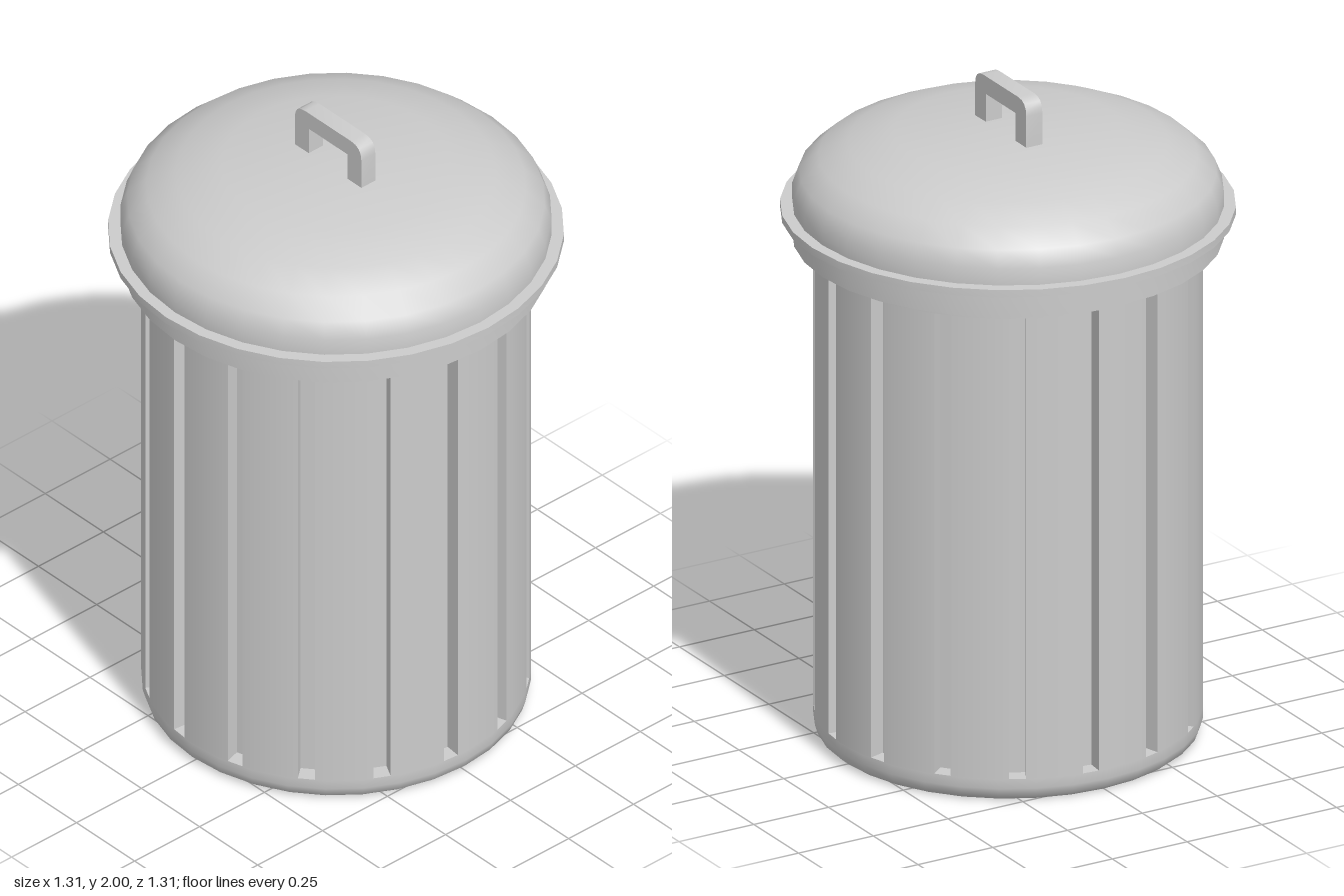
import * as THREE from 'three';
import { toCreasedNormals } from 'three/addons/utils/BufferGeometryUtils.js';

const SIDES = 32, R = 0.56;
const GROOVE_BOTTOM = 0.07, GROOVE_TOP = 1.5, GROOVE_DEPTH = 0.05, GROOVE_HALF = 0.025;
const material = new THREE.MeshStandardMaterial({ color: 0xcccccc });

function part(name, geometry) {
  const mesh = new THREE.Mesh(geometry, material);
  mesh.name = name;
  return mesh;
}

// Turned part from [radius, height] pairs, listed bottom to top
function turned(name, profile) {
  const points = profile.map(([r, y]) => new THREE.Vector2(r, y));
  return part(name, toCreasedNormals(new THREE.LatheGeometry(points, SIDES), 0.7));
}

// Body wall: a polygon with a notch in every other facet, extruded upwards
function groovedWall() {
  const points = [];
  const step = (Math.PI * 2) / SIDES;
  const apothem = R * Math.cos(step / 2);
  for (let k = 0; k < SIDES; k++) {
    const corner = k * step, mid = corner - step / 2;
    // (along, out) is measured from the middle of the facet
    const add = (along, out) => points.push(new THREE.Vector2(
      Math.sin(mid) * out + Math.cos(mid) * along,
      -Math.cos(mid) * out + Math.sin(mid) * along));
    if (k % 2 === 0) {
      add(-GROOVE_HALF, apothem);
      add(-GROOVE_HALF, apothem - GROOVE_DEPTH);
      add(GROOVE_HALF, apothem - GROOVE_DEPTH);
      add(GROOVE_HALF, apothem);
    }
    points.push(new THREE.Vector2(Math.sin(corner) * R, -Math.cos(corner) * R));
  }
  const geometry = new THREE.ExtrudeGeometry(new THREE.Shape(points), {
    depth: GROOVE_TOP - GROOVE_BOTTOM, bevelEnabled: false });
  geometry.rotateX(-Math.PI / 2).translate(0, GROOVE_BOTTOM, 0);

  // Round shading on the outer skin, hard edges inside the grooves
  const pos = geometry.attributes.position, normal = geometry.attributes.normal;
  for (let i = 0; i < pos.count; i++) {
    const x = pos.getX(i), z = pos.getZ(i), r = Math.hypot(x, z);
    const facing = (normal.getX(i) * x + normal.getZ(i) * z) / r;
    if (r > R - 0.02 && facing > 0.9) normal.setXYZ(i, x / r, 0, z / r);
  }
  return part('groovedWall', geometry);
}

function liftHandle() {
  const w = 0.143, base = 1.85, top = 2, t = 0.06, c = 0.045;
  const shape = new THREE.Shape();
  shape.moveTo(-w, base);
  shape.lineTo(-w, top - c);
  shape.quadraticCurveTo(-w, top, -w + c, top);
  shape.lineTo(w - c, top);
  shape.quadraticCurveTo(w, top, w, top - c);
  shape.lineTo(w, base);
  shape.lineTo(w - t, base);
  shape.lineTo(w - t, top - 0.055);
  shape.lineTo(-w + t, top - 0.055);
  shape.lineTo(-w + t, base);
  const geometry = new THREE.ExtrudeGeometry(shape, {
    depth: 0.054, bevelEnabled: false, curveSegments: 4 });
  geometry.translate(-0.004, 0, -0.027);
  return part('lidHandle', toCreasedNormals(geometry, 0.7));
}

export function createModel() {
  const model = new THREE.Group();
  model.name = 'trashCan';

  // Body: bevelled foot, grooved wall and plain top band
  const body = new THREE.Group();
  body.name = 'body';
  body.add(
    turned('foot', [[0, 0], [0.535, 0], [0.552, 0.014], [R, 0.04], [R, GROOVE_BOTTOM], [0, GROOVE_BOTTOM]]),
    groovedWall(),
    turned('topBand', [[0, GROOVE_TOP], [R, GROOVE_TOP], [R, 1.56], [0, 1.56]]));

  // Lid: skirt, flange, dome and handle
  const lid = new THREE.Group();
  lid.name = 'lid';
  lid.add(
    turned('lidShell', [
      [0, 1.53], [0.62, 1.53], [0.62, 1.606], [0.655, 1.606], [0.655, 1.629], [0.62, 1.629],
      [0.62, 1.68], [0.6, 1.73], [0.545, 1.78], [0.46, 1.82], [0.33, 1.855], [0, 1.86]]),
    liftHandle());

  model.add(body, lid);
  return model;
}
